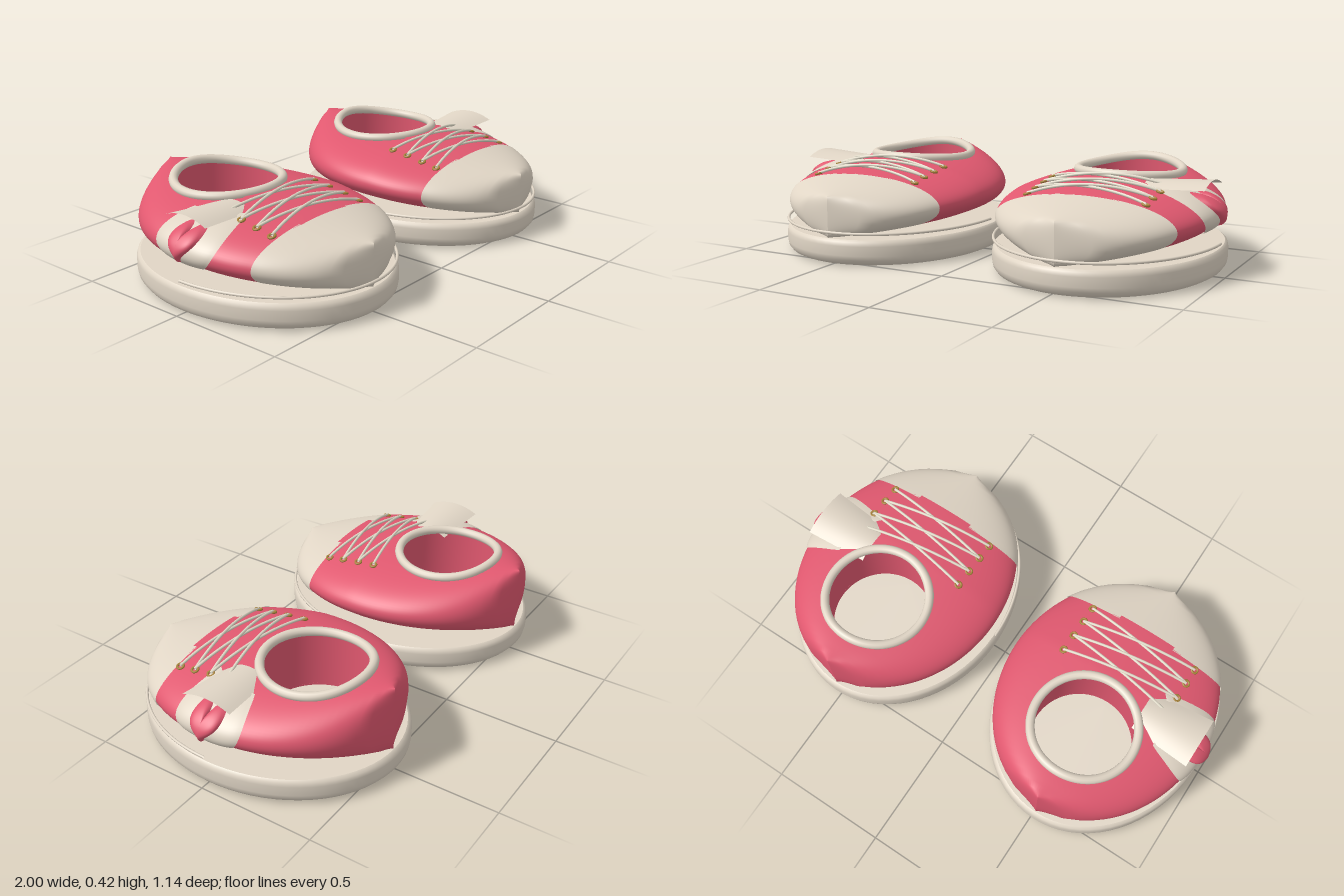
import * as THREE from 'three';

const HALF = 0.45, LEN = 0.55, FLOOR = 0.11;   // upper half width, half length, base height
const HOLE_Z = -0.2, HOLE_R = 0.22;            // foot opening

const mat = (name, color, side = THREE.DoubleSide) => {
  const m = new THREE.MeshStandardMaterial({ color, side });
  m.name = name;
  return m;
};

// Top ridge height along z, piecewise linear with gentle steps
const RIDGE = [[-0.55, 0.395], [-0.45, 0.394], [-0.2, 0.382], [0.05, 0.372], [0.3, 0.338], [0.55, 0.283]];
function ridge(z) {
  for (let i = 1; i < RIDGE.length; i++) {
    const [z0, y0] = RIDGE[i - 1], [z1, y1] = RIDGE[i];
    if (z <= z1 || i === RIDGE.length - 1) return y0 + (y1 - y0) * (z - z0) / (z1 - z0);
  }
}
// Elliptical cross-section of the upper at z
function section(z) {
  const top = ridge(z);
  return {
    w: HALF * Math.sqrt(Math.max(0, 1 - (z / LEN) ** 2)),
    c: (top + FLOOR) / 2,
    h: (top - FLOOR) / 2,
  };
}
function surfaceY(x, z, sign = 1) {
  const { w, c, h } = section(z);
  return c + sign * h * Math.sqrt(Math.max(0, 1 - (x / Math.max(w, 1e-6)) ** 2));
}
function surfaceX(y, z, grow) {
  const { w, c, h } = section(z);
  return (w + grow) * Math.sqrt(Math.max(0, 1 - ((y - c) / (h + grow)) ** 2));
}

// Grid surface from f(u, v) -> [x, y, z]; skip(a) marks vertices inside a cut-out
function grid(nu, nv, f, skip = () => false, flip = false) {
  const pos = [], cut = [], idx = [];
  for (let j = 0; j <= nv; j++) for (let i = 0; i <= nu; i++) {
    const p = f(i / nu, j / nv);
    cut.push(skip(p));
    pos.push(flip ? -p[0] : p[0], p[1], p[2]);
  }
  const tri = (a, b, c) => {
    if (cut[a] && cut[b] && cut[c]) return;
    if (flip) idx.push(a, c, b); else idx.push(a, b, c);
  };
  for (let j = 0; j < nv; j++) for (let i = 0; i < nu; i++) {
    const a = j * (nu + 1) + i, b = a + 1, d = a + nu + 1, e = d + 1;
    tri(a, b, e);
    tri(a, e, d);
  }
  const g = new THREE.BufferGeometry();
  g.setAttribute('position', new THREE.Float32BufferAttribute(pos, 3));
  g.setIndex(idx);
  g.computeVertexNormals();
  return g;
}

const V = (x, y, z) => new THREE.Vector3(x, y, z);

function makeShoe(side, m) {
  const shoe = new THREE.Group();
  shoe.name = side > 0 ? 'leftShoe' : 'rightShoe';
  shoe.position.x = side * 0.515;
  const flip = side < 0;
  const add = (name, geo, material) => {
    const mesh = new THREE.Mesh(geo, material);
    mesh.name = name;
    shoe.add(mesh);
    return mesh;
  };

  // Sole: oval slab with a rounded lower edge
  const profile = [[0, 0], [0.53, 0], [0.53, 0], [0.552, 0.01], [0.566, 0.026], [0.57, 0.045],
    [0.57, 0.085], [0.565, 0.102], [0.553, 0.11], [0.553, 0.11], [0, 0.11]];
  const sole = new THREE.LatheGeometry(profile.map(p => new THREE.Vector2(...p)), 72);
  sole.scale(0.465 / 0.57, 1, 1);
  add('sole', sole, m.cream);

  // Welt cord around the front half
  const welt = [];
  for (let i = 0; i <= 40; i++) {
    const a = Math.PI * i / 40;
    welt.push(V(0.462 * Math.cos(a), 0.136, 0.56 * Math.sin(a)));
  }
  add('weltCord', new THREE.TubeGeometry(new THREE.CatmullRomCurve3(welt), 64, 0.006, 8), m.cream);

  // Upper: lofted ellipses, vertices within the opening pushed out to its rim
  const loft = (z0, z1, nz, grow) => grid(96, nz, (u, v) => {
    const z = z0 + (z1 - z0) * v, t = u * Math.PI * 2 - Math.PI / 2;
    const { w, c, h } = section(z);
    const x = (w + (w > 0.01 ? grow : 0)) * Math.cos(t);
    const r = Math.hypot(x, z - HOLE_Z);
    if (r < HOLE_R) {
      const k = r > 1e-5 ? HOLE_R / r : 0;
      const hx = x * k, hz = HOLE_Z + (z - HOLE_Z) * k;
      return [hx, surfaceY(hx, hz, Math.sign(Math.sin(t))), hz];
    }
    return [x, c + h * Math.sin(t), z];
  }, p => Math.hypot(p[0], p[2] - HOLE_Z) < HOLE_R + 1e-6);
  add('upper', loft(-LEN, 0.3, 34, 0), m.pink);
  add('toeCap', loft(0.295, LEN, 10, 0.005), m.cream);

  // Inner lining and padded collar of the opening
  const rim = a => {
    const x = HOLE_R * Math.cos(a), z = HOLE_Z + HOLE_R * Math.sin(a);
    return V(x, surfaceY(x, z), z);
  };
  add('lining', grid(64, 1, (u, v) => {
    const p = rim(u * Math.PI * 2);
    return [p.x, v ? p.y : FLOOR, p.z];
  }), m.pink);
  const ring = Array.from({ length: 40 }, (_, i) => rim(i / 40 * Math.PI * 2).add(V(0, 0.008, 0)));
  add('collar', new THREE.TubeGeometry(new THREE.CatmullRomCurve3(ring, true), 96, 0.019, 12, true), m.cream);

  // Tongue panel under the laces
  add('tongue', grid(12, 14, (u, v) => {
    const x = 0.13 - 0.26 * u, z = 0.31 - 0.3 * v;
    return [x, surfaceY(x, z) + 0.006, z];
  }), m.pink);

  // Eyelets and crossed laces
  const rows = [0.04, 0.12, 0.2, 0.275];
  const eye = new THREE.TorusGeometry(0.013, 0.005, 8, 20).rotateX(Math.PI / 2);
  for (const s of [-1, 1]) rows.forEach((z, i) => {
    const e = add('eyelet', eye, m.brass);
    e.position.set(s * 0.25, surfaceY(0.25, z) + 0.005, z);
    e.rotation.z = -s * 0.3;
    if (i === rows.length - 1) return;
    const pts = [];
    for (let k = 0; k <= 10; k++) {
      const t = k / 10, x = s * (0.25 - 0.5 * t), lz = z + (rows[i + 1] - z) * t;
      pts.push(V(x, surfaceY(x, lz) + 0.008 + (0.012 + s * 0.004) * Math.sin(Math.PI * t), lz));
    }
    add('lace', new THREE.TubeGeometry(new THREE.CatmullRomCurve3(pts), 30, 0.006, 8), m.lace);
  });

  // Oval patch wrapped on the outer side
  add('sidePatch', grid(14, 56, (u, v) => {
    const a = v * Math.PI * 2;
    const y = Math.min(0.28 + 0.108 * u * Math.cos(a), 0.354), z = 0.153 * u * Math.sin(a);
    return [surfaceX(y, z, 0.012 - 0.008 * u ** 6), y, z];
  }, undefined, flip), m.cream);

  // Domed heart on the patch
  add('heart', grid(12, 64, (u, v) => {
    const t = v * Math.PI * 2;
    const z = 0.0043 * u * 16 * Math.sin(t) ** 3;
    const y = 0.284 + 0.0046 * u *
      (13 * Math.cos(t) - 5 * Math.cos(2 * t) - 2 * Math.cos(3 * t) - Math.cos(4 * t));
    return [surfaceX(y, z, 0.008 + 0.027 * Math.sqrt(1 - u ** 4)), y, z];
  }, undefined, flip), m.pink);

  // Arched pull flap reaching outward from the collar
  add('sideFlap', grid(14, 12, (u, v) => {
    const k = 2 * u - 1, x = 0.16 + 0.265 * v;
    return [x, 0.345 + 0.015 * v + 0.026 * (1 - k * k), k * (0.09 + 0.022 * v)];
  }, undefined, flip), m.cream);

  return shoe;
}

export function createModel() {
  const m = {
    pink: mat('pinkCanvas', 0xe0586f),
    cream: mat('creamRubber', 0xe0d5c5),
    lace: mat('laceCotton', 0xe0dac8),
    brass: mat('eyeletBrass', 0xa8843c),
  };
  const group = new THREE.Group();
  group.name = 'sneakers';
  for (const side of [-1, 1]) group.add(makeShoe(side, m));
  return group;
}
